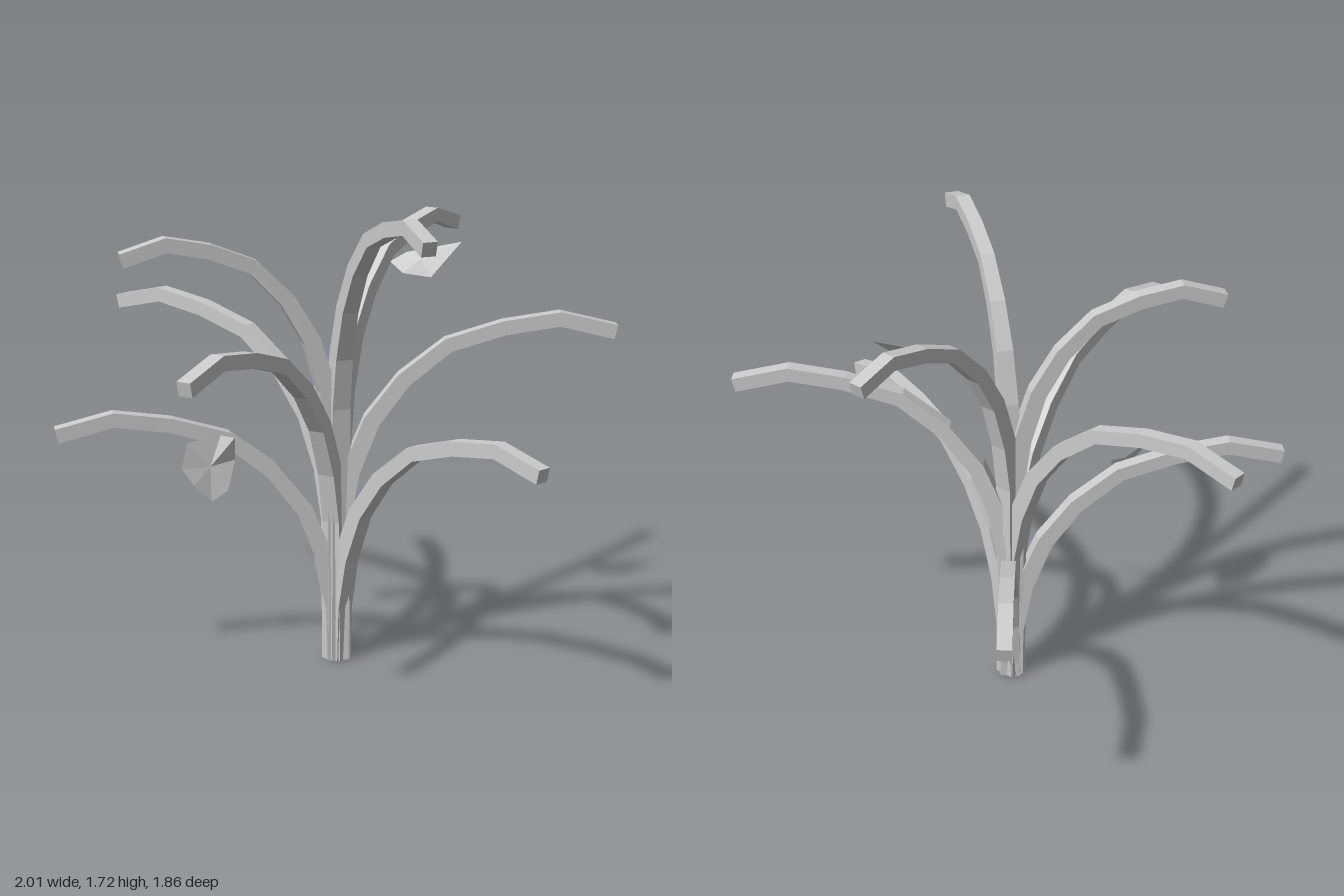
import * as THREE from 'three';

const material = new THREE.MeshStandardMaterial({ color: 0xcccccc, flatShading: true });
const leafMaterial = new THREE.MeshStandardMaterial({ color: 0xcccccc, flatShading: true, side: THREE.DoubleSide });

const AXIS_Z = 0.07; // the stems rise from this line

// Arch of a stem: distance from the axis, height relative to the crest
const ARCH = [
  [0.012, -0.74], [0.05, -0.55], [0.125, -0.365], [0.24, -0.215],
  [0.4, -0.09], [0.6, -0.03], [0.8, 0], [1, -0.048],
];

// Square rod swept along the arch, its rows of vertices moved onto the path
function stemGeometry(reach, crest) {
  const path = [[0.005, 0], ...ARCH.map(([r, y]) => [r * reach, y + crest])]
    .map(([r, y]) => new THREE.Vector2(r, y));
  const n = path.length - 1;
  const geometry = new THREE.BoxGeometry(1, 1, 1, 1, n, 1);
  const pos = geometry.attributes.position;
  for (let v = 0; v < pos.count; v++) {
    const i = Math.round((pos.getY(v) + 0.5) * n);
    const before = path[i].clone().sub(path[Math.max(i - 1, 0)]).normalize();
    const after = path[Math.min(i + 1, n)].clone().sub(path[i]).normalize();
    const t = before.add(after).normalize();
    const size = THREE.MathUtils.lerp(0.072, 0.052, Math.min(1, i / 5));
    const across = pos.getX(v) * size;
    pos.setXYZ(v, path[i].x + t.y * across, path[i].y - t.x * across, pos.getZ(v) * size);
  }
  geometry.computeVertexNormals();
  return geometry;
}

// Folded leaf: a fan of facets from a point on the midrib to the rim
function leafGeometry(centre, rim) {
  const corners = [];
  rim.forEach((p, i) => corners.push(...centre, ...p, ...rim[(i + 1) % rim.length]));
  const geometry = new THREE.BufferGeometry();
  geometry.setAttribute('position', new THREE.Float32BufferAttribute(corners, 3));
  geometry.computeVertexNormals();
  return geometry;
}

export function createModel() {
  const model = new THREE.Group();
  model.name = 'plant';

  // Stems: tip x, tip z, crest height
  const stems = [
    ['lowerStem', -0.005, -0.93, 0.805],
    ['lowerStem', -0.995, 0.195, 0.945],
    ['lowerStem', 0.615, 0.85, 0.945],
    ['middleStem', 0.995, 0.1, 1.265],
    ['middleStem', -0.55, 0.905, 1.27],
    ['middleStem', -0.77, -0.575, 1.27],
    ['upperStem', 0.49, -0.52, 1.565],
    ['upperStem', -0.755, 0.215, 1.565],
    ['upperStem', 0.24, 0.795, 1.69],
  ];
  for (const [name, x, z, crest] of stems) {
    const stem = new THREE.Mesh(stemGeometry(Math.hypot(x, z - AXIS_Z), crest), material);
    stem.name = name;
    stem.position.z = AXIS_Z;
    stem.rotation.y = Math.atan2(AXIS_Z - z, x);
    model.add(stem);
  }

  // Large drooping leaf
  const lowerLeaf = new THREE.Mesh(leafGeometry([-0.46, 0.805, 0.32], [
    [-0.37, 0.87, 0.18], [-0.42, 0.88, 0.18], [-0.54, 0.895, 0.33], [-0.56, 0.84, 0.47],
    [-0.52, 0.79, 0.5], [-0.46, 0.725, 0.48], [-0.4, 0.73, 0.36], [-0.37, 0.79, 0.18],
  ]), leafMaterial);
  lowerLeaf.name = 'lowerLeaf';

  // Small pointed leaf
  const upperLeaf = new THREE.Mesh(leafGeometry([0.32, 1.45, -0.11], [
    [0.21, 1.435, -0.145], [0.27, 1.47, -0.14], [0.47, 1.505, -0.135],
    [0.35, 1.39, -0.06], [0.25, 1.405, -0.07],
  ]), leafMaterial);
  upperLeaf.name = 'upperLeaf';

  model.add(lowerLeaf, upperLeaf);
  return model;
}
